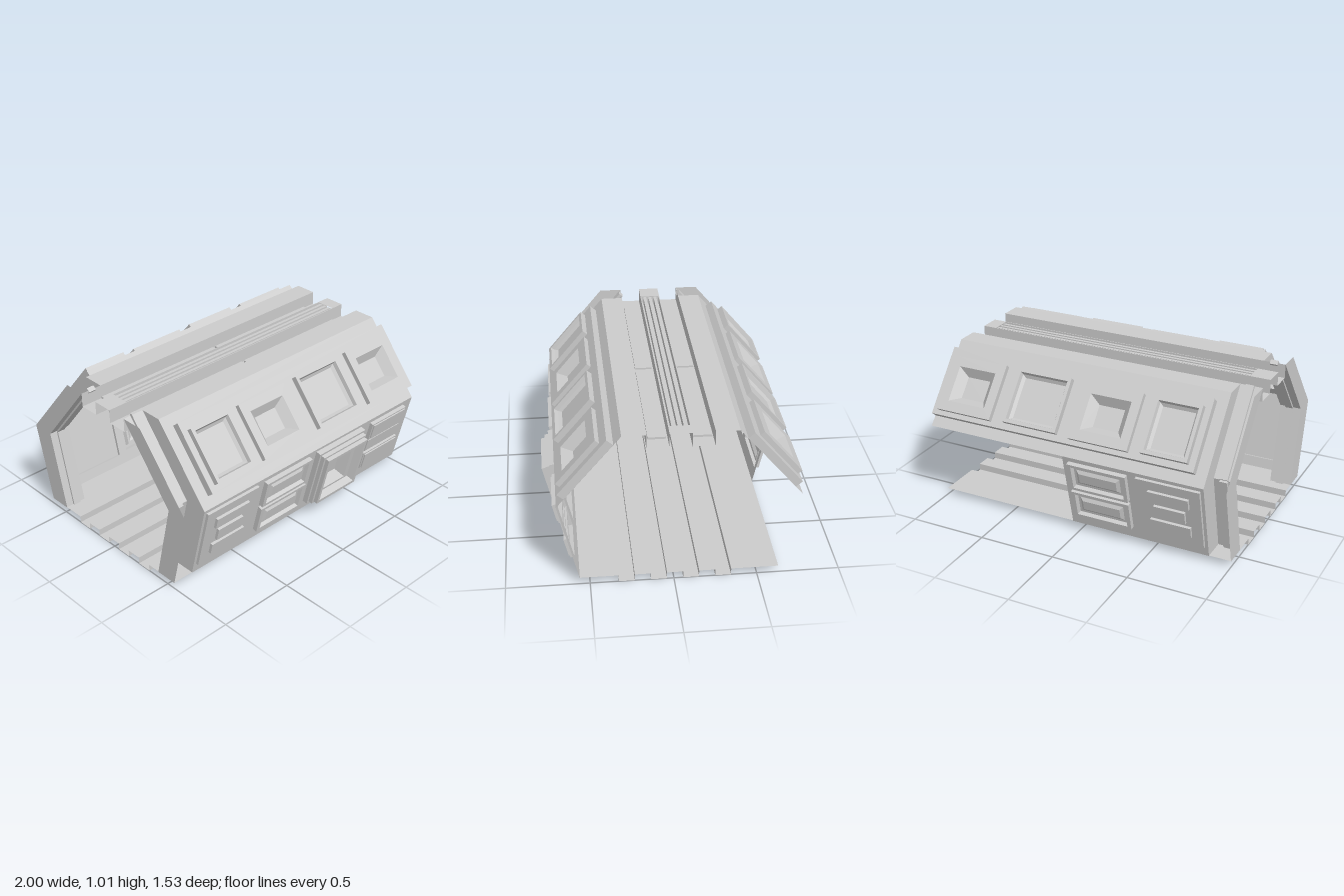
import * as THREE from 'three';

const mat = new THREE.MeshStandardMaterial({ color: 0xcccccc, flatShading: true, side: THREE.DoubleSide });

function mesh(geo, name) {
  const m = new THREE.Mesh(geo, mat);
  m.name = name;
  return m;
}

// Flat sheet in the local xy plane with rectangular holes; rectangles are [x0, x1, y0, y1]
function sheet(name, r, holes = [], n = 0) {
  const pts = ([a, b, c, d]) => [[a, c], [b, c], [b, d], [a, d]].map(p => new THREE.Vector2(...p));
  const shape = new THREE.Shape(pts(r));
  for (const h of holes) shape.holes.push(new THREE.Path(pts(h).reverse()));
  const m = mesh(new THREE.ShapeGeometry(shape), name);
  m.position.z = n;
  return m;
}

// Stepped rectangular relief: each step is [inset x, inset y, height]; the last one is closed
function relief(name, [x0, x1, y0, y1], steps, closed = true) {
  const loops = steps.map(([ix, iy, n]) => [
    [x0 + ix, y0 + iy, n], [x1 - ix, y0 + iy, n], [x1 - ix, y1 - iy, n], [x0 + ix, y1 - iy, n]]);
  const pos = [];
  const quad = (a, b, c, d) => pos.push(...a, ...b, ...c, ...a, ...c, ...d);
  for (let i = 0; i + 1 < loops.length; i++)
    for (let k = 0; k < 4; k++) {
      const j = (k + 1) % 4;
      quad(loops[i][k], loops[i][j], loops[i + 1][j], loops[i + 1][k]);
    }
  if (closed) quad(...loops[loops.length - 1]);
  const g = new THREE.BufferGeometry();
  g.setAttribute('position', new THREE.Float32BufferAttribute(pos, 3));
  g.computeVertexNormals();
  return mesh(g, name);
}

// Group whose local y runs up a sloped wall and whose local z points outwards
function slope(name, [z0, y0], [z1, y1]) {
  const g = new THREE.Group();
  g.name = name;
  g.position.set(0, y0, z0);
  g.rotation.x = Math.atan2(z1 - z0, y1 - y0);
  g.userData.len = Math.hypot(z1 - z0, y1 - y0);
  return g;
}

// Open strip swept along x from a [z, y] profile
function strip(name, profile, x0, x1) {
  const pos = [];
  for (let i = 0; i + 1 < profile.length; i++) {
    const [za, ya] = profile[i], [zb, yb] = profile[i + 1];
    pos.push(x0, ya, za, x1, ya, za, x1, yb, zb, x0, ya, za, x1, yb, zb, x0, yb, zb);
  }
  const g = new THREE.BufferGeometry();
  g.setAttribute('position', new THREE.Float32BufferAttribute(pos, 3));
  g.computeVertexNormals();
  return mesh(g, name);
}

function box(name, x0, x1, y0, y1, z0, z1) {
  const m = mesh(new THREE.BoxGeometry(x1 - x0, y1 - y0, z1 - z0), name);
  m.position.set((x0 + x1) / 2, (y0 + y1) / 2, (z0 + z1) / 2);
  return m;
}

// Cross-section corners, [distance from the middle, height]
const TOP = [0.335, 1], MID = [0.715, 0.55], LOW = [0.595, 0.04];
const ITOP = [0.195, 1], IMID = [0.565, 0.55], ILOW = [0.45, 0.04];
const X0 = -0.86;

function upperWall() {
  const w = slope('upperWall', MID, TOP), band = [-0.79, 0.998, 0.07, 0.52];
  w.add(sheet('upperWallSkin', [X0, 1, 0, w.userData.len], [band]));
  w.add(relief('raisedBandEdge', band, [[0, 0, 0], [0, 0, 0.05]], false));
  const windows = [[-0.75, -0.45, 0.11, 0.46], [0.11, 0.48, 0.11, 0.46]];
  const hatches = [[-0.37, 0.02, 0.1, 0.46], [0.57, 0.95, 0.1, 0.46]];
  w.add(sheet('raisedBand', band, [...windows, ...hatches], 0.05));
  for (const r of windows)
    w.add(relief('window', r, [[0, 0, 0.05], [0, 0, 0.088], [0.022, 0.022, 0.088], [0.028, 0.028, 0.062], [0.045, 0.045, 0.045]]));
  for (const r of hatches)
    w.add(relief('recessedHatch', r, [[0, 0, 0.05], [0, 0, 0.082], [0.06, 0.065, 0.082], [0.11, 0.11, 0.025]]));
  return w;
}

function lowerWall(xEnd) {
  const w = slope('lowerWall', LOW, MID), holes = [], parts = [];
  const add = (name, r, steps) => {
    if (r[1] > xEnd) return;
    holes.push(r);
    parts.push(relief(name, r, steps));
  };
  // Panel with three bars
  add('barPanel', [-0.84, -0.43, 0.07, 0.5], [[0, 0, 0], [0, 0, 0.018]]);
  for (const [a, b, c, d] of [[-0.77, -0.51, 0.36, 0.435], [-0.74, -0.54, 0.245, 0.33], [-0.77, -0.51, 0.145, 0.22]])
    parts.push(relief('bar', [a, b, c, d], [[0, 0, 0.018], [0, 0, 0.036]]));
  // Two framed lockers
  for (const s of [0.085, 0.3])
    add('locker', [-0.37, 0.02, s, s + 0.195], [[0, 0, 0], [0, 0, 0.03], [0.025, 0.018, 0.03], [0.035, 0.028, 0.008],
      [0.05, 0.045, 0.008], [0.07, 0.065, 0.022]]);
  // Deep stepped niche
  add('steppedNiche', [0.08, 0.5, 0.075, 0.505], [[0, 0, 0], [0, 0, 0.035], [0.015, 0.015, 0.035], [0.015, 0.015, 0.062],
    [0.03, 0.028, 0.062], [0.03, 0.028, 0.089], [0.05, 0.05, 0.089], [0.075, 0.075, 0.05], [0.11, 0.09, 0.05], [0.15, 0.13, -0.01]]);
  // Three stacked boxes
  for (const [s, h, n] of [[0.105, 0.135, 0.025], [0.247, 0.11, 0.012], [0.365, 0.13, 0.025]])
    add('stackedBox', [0.59, 0.92, s, s + h], [[0, 0, 0], [0, 0, n], [0.01, 0.01, n], [0.01, 0.01, n + 0.008]]);
  w.add(sheet('lowerWallSkin', [X0, xEnd, 0, w.userData.len], holes), ...parts);
  return w;
}

// Side of the corridor; lowerEnd is where the lower wall stops
function side(name, lowerEnd) {
  const g = new THREE.Group();
  g.name = name;
  g.add(upperWall(), lowerWall(lowerEnd));

  // Recessed end portal with its outer flange, inner step and rib
  g.add(strip('portalSkin', [ITOP, IMID, ILOW], -1, X0));
  const ring = new THREE.Shape([TOP, MID, LOW, ILOW, IMID, ITOP].map(p => new THREE.Vector2(-p[0], p[1])));
  for (const [x, n] of [[-1, 'portalFlange'], [X0, 'portalStep']]) {
    const m = mesh(new THREE.ShapeGeometry(ring), n);
    m.rotation.y = Math.PI / 2;
    m.position.x = x;
    g.add(m);
  }
  for (const [a, b] of [[IMID, ITOP], [ILOW, IMID]]) {
    const r = slope('portalRib', a, b);
    r.add(box('rib', -0.95, -0.9, 0, r.userData.len, -0.012, 0.018));
    g.add(r);
  }
  return g;
}

export function createModel() {
  const model = new THREE.Group();
  model.name = 'corridorSection';

  const front = side('frontSide', 1), back = side('backSide', 0.06);
  front.position.z = back.position.z = -0.035;
  back.scale.z = -1;
  model.add(front, back);

  // Floor with sunken channels
  const floor = [[0.56, 0.043]];
  for (let i = 0; i < 4; i++) {
    const z = 0.33 - i * 0.193;
    floor.push([z, 0.043], [z, 0], [z - 0.096, 0], [z - 0.096, 0.043]);
  }
  floor.push([-0.63, 0.043]);
  model.add(strip('floor', floor, -1, 1));

  // Ceiling: outer ledges, sunken troughs and a raised spine
  model.add(strip('frontLedge', [[0.3, 1], [0.16, 1]], X0, 1));
  model.add(strip('backLedge', [[-0.23, 1], [-0.37, 1]], X0, 1));
  model.add(strip('ceiling', [[0.16, 1], [0.16, 0.912], [0.03, 0.912], [0.03, 1], [0.025, 1]], -1, 1));
  model.add(strip('ceiling', [[-0.095, 1], [-0.1, 1], [-0.1, 0.912], [-0.23, 0.912], [-0.23, 1]], -1, 1));

  // Spine grooves with end plates and slats
  const groove = [0.025, -0.095];
  model.add(strip('spineGroove', [[groove[0], 1], [groove[0], 0.95], [groove[1], 0.95], [groove[1], 1]], -0.87, 0.91));
  for (const [a, b] of [[-1, -0.87], [0.91, 1]])
    model.add(strip('spineCap', [[groove[0], 1], [groove[1], 1]], a, b));
  model.add(box('spineEnd', -0.875, -0.87, 0.912, 1, -0.1, 0.03));
  for (const z of [0.0, -0.035, -0.07])
    model.add(box('spineSlat', -0.87, 0.91, 0.95, 0.995, z - 0.01, z + 0.01));

  // Long panels in the troughs
  for (const [z0, z1] of [[0.04, 0.145], [-0.225, -0.115]])
    for (const [a, b] of [[-0.86, 0.05], [0.07, 0.9]])
      model.add(box('ceilingPanel', a, b, 0.906, 0.925, z0, z1));

  return model;
}
